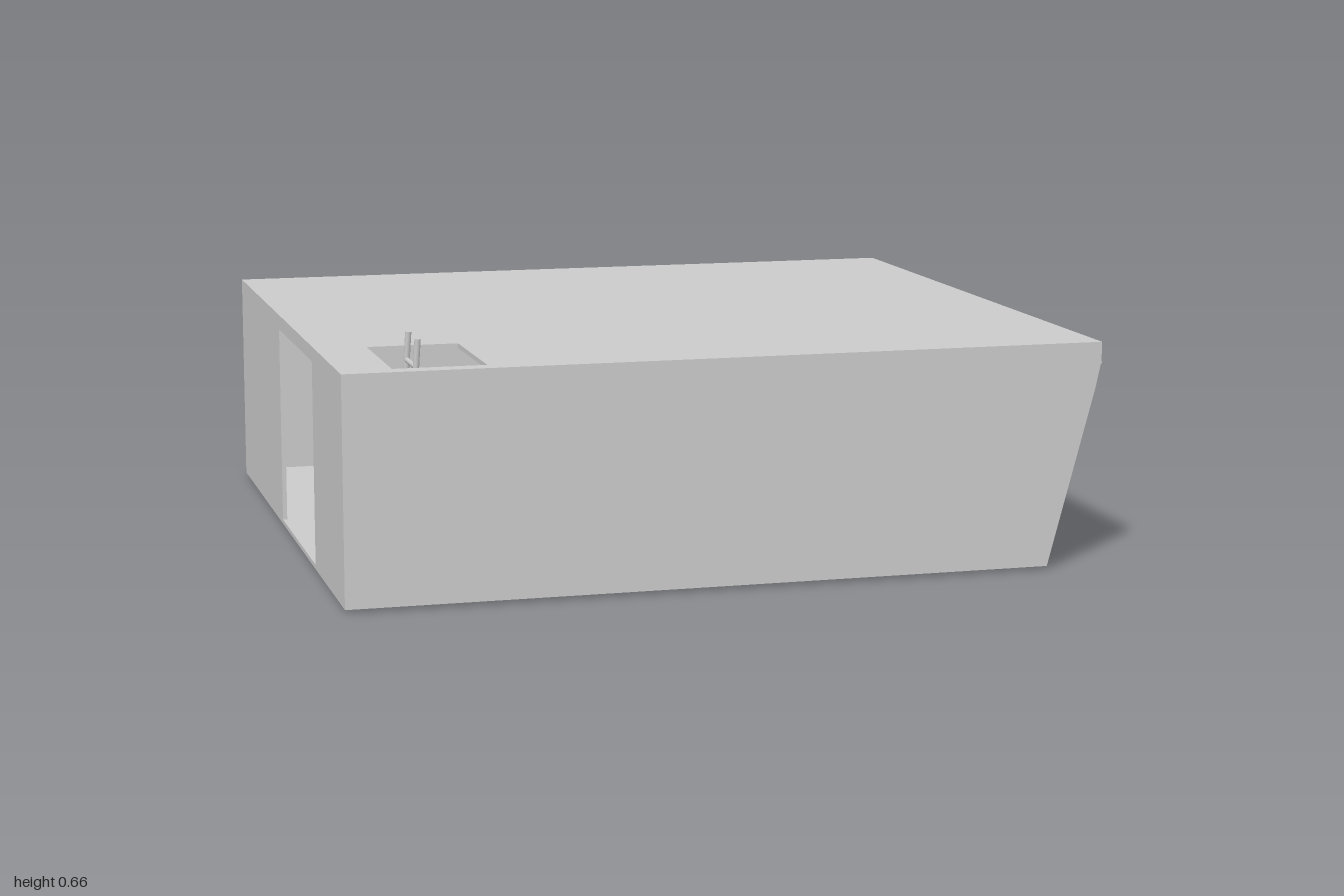
import * as THREE from 'three';

const T = 0.012; // shell thickness
const grey = new THREE.MeshStandardMaterial({ color: 0xcccccc, side: THREE.DoubleSide });

function add(group, name, geometry, x = 0, y = 0, z = 0) {
  const mesh = new THREE.Mesh(geometry, grey);
  mesh.name = name;
  mesh.position.set(x, y, z);
  group.add(mesh);
  return mesh;
}

const box = (w, h, d) => new THREE.BoxGeometry(w, h, d);

function rectPoints(x0, y0, x1, y1) {
  return [[x0, y0], [x1, y0], [x1, y1], [x0, y1]].map(([x, y]) => new THREE.Vector2(x, y));
}

// Flat panel with rectangular holes
function panel(points, holes = []) {
  const shape = new THREE.Shape(points);
  holes.forEach((h) => shape.holes.push(new THREE.Path(rectPoints(...h))));
  return new THREE.ExtrudeGeometry(shape, { depth: T, bevelEnabled: false });
}

// Round bar between two points
function bar(group, name, a, b, r) {
  const from = new THREE.Vector3(...a), to = new THREE.Vector3(...b);
  const dir = to.clone().sub(from);
  const mesh = add(group, name, new THREE.CylinderGeometry(r, r, dir.length(), 10));
  mesh.position.copy(from).add(to).multiplyScalar(0.5);
  mesh.quaternion.setFromUnitVectors(new THREE.Vector3(0, 1, 0), dir.normalize());
}

// Outline of the leaning side wall, from floor to roof
const lean = [[0.86, 0.01], [0.985, 0.48], [1, 0.55], [1, 0.6]];

function leanX(y) {
  for (let i = 1; i < lean.length; i++) {
    const [x0, y0] = lean[i - 1], [x1, y1] = lean[i];
    if (y <= y1 + 1e-6) return x0 + (x1 - x0) * (y - y0) / (y1 - y0);
  }
  return 1;
}

function buildShell() {
  const shell = new THREE.Group();
  shell.name = 'shell';

  // Floor and roof; the roof has a hatch opening
  add(shell, 'floor', box(1.86, T, 1.8), -0.07, 0.01 + T / 2, 0);
  const roof = panel(rectPoints(-1, -0.9, 1, 0.9), [[-0.865, -0.85, -0.625, -0.49]]);
  add(shell, 'roof', roof.rotateX(-Math.PI / 2), 0, 0.6 - T, 0);

  // Front and back walls follow the leaning profile
  const outline = [[-1, 0.01], ...lean, [-1, 0.6]].map(([x, y]) => new THREE.Vector2(x, y));
  add(shell, 'frontWall', panel(outline), 0, 0, 0.9 - T);
  add(shell, 'backWall', panel(outline), 0, 0, -0.9);

  // Wall with the tall doorway
  const doorWall = panel([
    [-0.9, 0.01], [-0.14, 0.01], [-0.14, 0.56], [0.44, 0.56],
    [0.44, 0.01], [0.9, 0.01], [0.9, 0.6], [-0.9, 0.6],
  ].map(([z, y]) => new THREE.Vector2(z, y)));
  add(shell, 'doorWall', doorWall.rotateY(-Math.PI / 2), -1 + T, 0, 0);

  // Leaning wall in three bands, the lowest with six windows
  const windows = [[-0.355, -0.26], [-0.22, -0.135], [-0.1, 0], [0.04, 0.12], [0.155, 0.24], [0.275, 0.38]]
    .map(([a, b]) => [a, 0.22, b, 0.36]);
  for (let i = 0; i < 3; i++) {
    const g = panel(rectPoints(-0.9, lean[i][1], 0.9, lean[i + 1][1]), i === 0 ? windows : []);
    const p = g.attributes.position;
    for (let k = 0; k < p.count; k++) {
      const a = p.getX(k), y = p.getY(k), d = p.getZ(k);
      p.setXYZ(k, leanX(y) + d - T, y, -a);
    }
    g.computeVertexNormals();
    add(shell, i === 0 ? 'windowWall' : 'upperWallBand', g);
  }

  // Thin strips near the ceiling
  add(shell, 'sideStrip', box(0.016, 0.006, 1.4), 0.993, 0.546, 0.2);
  add(shell, 'frontStrip', box(1.43, 0.006, 0.012), -0.28, 0.546, 0.89);
  return shell;
}

function buildLadder() {
  const ladder = new THREE.Group();
  ladder.name = 'ladder';
  const at = (t, side) => [-0.82 + 0.038 * t, 0.002 + 0.656 * t, 0.592 + 0.04 * t + 0.125 * side];
  for (const side of [0, 1]) bar(ladder, 'ladderRail', at(0, side), at(1, side), 0.008);
  for (let i = 1; i <= 7; i++) bar(ladder, 'ladderRung', at(i * 0.127, 0), at(i * 0.127, 1), 0.007);
  return ladder;
}

function buildBarrels() {
  const barrels = new THREE.Group();
  barrels.name = 'barrels';
  const profile = [[0, 0.005], [0.045, 0.005], [0.06, 0.04], [0.068, 0.09], [0.068, 0.14],
    [0.06, 0.185], [0.052, 0.205], [0.045, 0.205], [0.04, 0.19], [0, 0.19]]
    .map(([r, y]) => new THREE.Vector2(r, y));
  for (const x of [-0.61, -0.455]) add(barrels, 'barrel', new THREE.LatheGeometry(profile, 28), x, 0, 0.78);
  return barrels;
}

function buildChair() {
  const chair = new THREE.Group();
  chair.name = 'chair';
  for (const x of [-0.06, 0.06]) {
    for (const z of [-0.06, 0.06]) add(chair, 'chairLeg', box(0.014, 0.13, 0.014), x, 0.07, z);
    add(chair, 'chairBackPost', box(0.014, 0.16, 0.014), x, 0.22, -0.06);
  }
  add(chair, 'chairSeat', box(0.14, 0.016, 0.14), 0, 0.14, 0);
  for (let i = 0; i < 3; i++) add(chair, 'chairBackSlat', box(0.12, 0.025, 0.01), 0, 0.2 + i * 0.042, -0.06);
  chair.position.set(0.68, 0, -0.44);
  chair.rotation.y = -Math.PI / 4;
  return chair;
}

export function createModel() {
  const model = new THREE.Group();
  model.name = 'cabin';
  model.add(buildShell(), buildLadder(), buildBarrels(), buildChair());

  // Pair of lockers by the back wall
  for (const x of [-0.345, -0.215]) add(model, 'locker', box(0.126, 0.28, 0.13), x, 0.145, -0.775);

  // Slim lever just behind the windows
  bar(model, 'lever', [0.87, 0.2, 0.2], [0.9, 0.33, 0.215], 0.006);
  return model;
}
